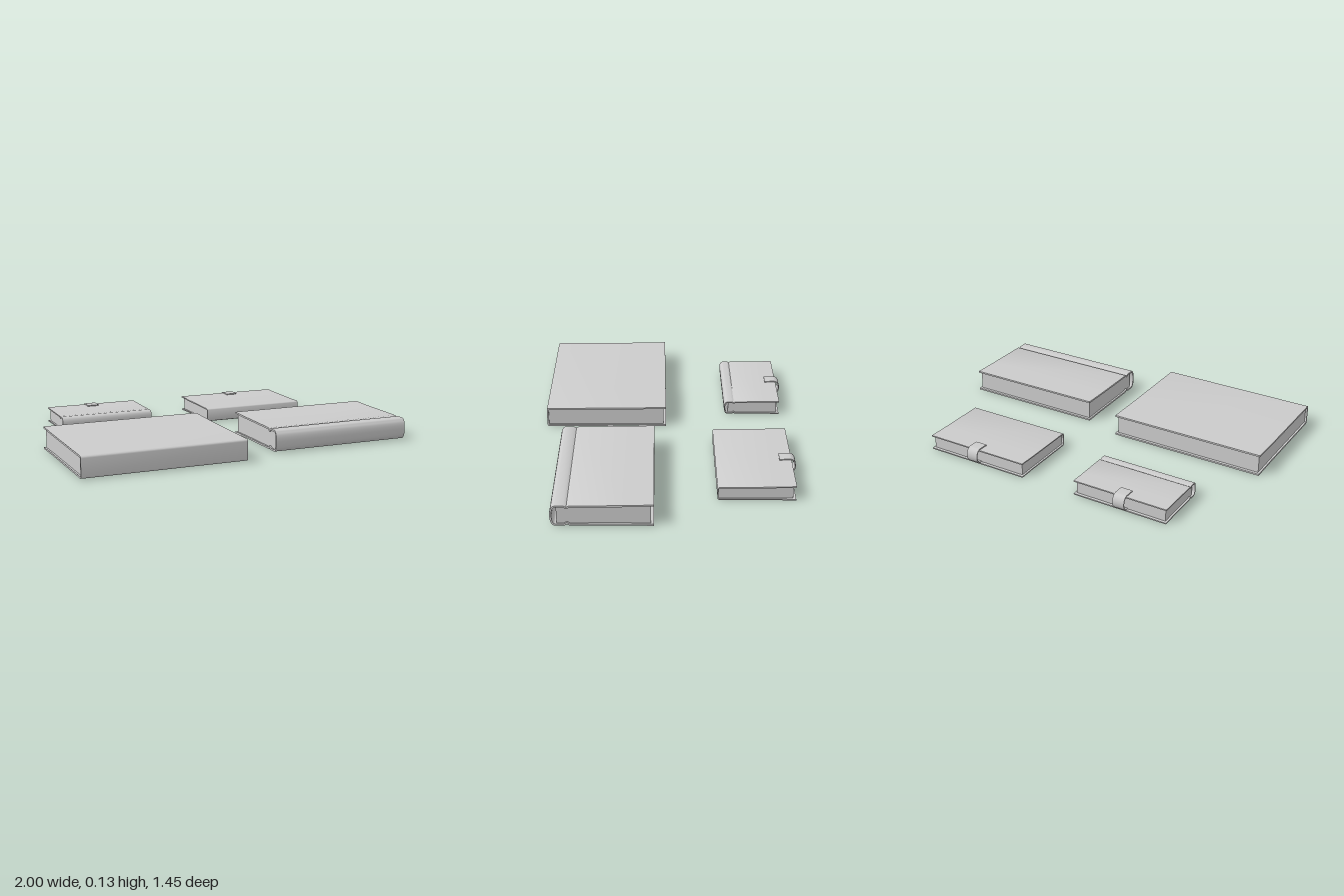
import * as THREE from 'three';
import { toCreasedNormals } from 'three/addons/utils/BufferGeometryUtils.js';

const material = new THREE.MeshStandardMaterial({ color: 0xcccccc });

// Extrude a [z, y] outline along x between x0 and x1.
function extrudeX(name, points, x0, x1) {
  const shape = new THREE.Shape(points.map(([z, y]) => new THREE.Vector2(z, y)));
  let geo = new THREE.ExtrudeGeometry(shape, { depth: x1 - x0, bevelEnabled: false });
  geo.rotateY(-Math.PI / 2).translate(x1, 0, 0);
  geo = toCreasedNormals(geo, 0.6);
  const mesh = new THREE.Mesh(geo, material);
  mesh.name = name;
  return mesh;
}

// Thicken a [z, y] path to its right-hand side with mitred corners.
function thicken(path, t) {
  const dir = (a, b) => {
    const l = Math.hypot(b[0] - a[0], b[1] - a[1]);
    return [(b[0] - a[0]) / l, (b[1] - a[1]) / l];
  };
  const inner = path.map((p, i) => {
    const d1 = i > 0 ? dir(path[i - 1], p) : dir(p, path[1]);
    const d2 = i < path.length - 1 ? dir(p, path[i + 1]) : d1;
    const nx = d1[1] + d2[1], ny = -d1[0] - d2[0];
    const k = 2 * t / (nx * nx + ny * ny);
    return [p[0] + nx * k, p[1] + ny * k];
  });
  return [...path, ...inner.reverse()];
}

// Upper half of the cover outline, from the open edge to the spine.
function squareSpine(z0, z1, h, flare) {
  const r = 0.012, y = h - flare;
  const pts = [[z0, h], [z0 + (z1 - z0) * 0.25, h - flare * 0.7]];
  for (let i = 0; i <= 4; i++) {
    const a = i / 4 * Math.PI / 2;
    pts.push([z1 - r + r * Math.sin(a), y - r + r * Math.cos(a)]);
  }
  return pts;
}

function roundSpine(z0, z1, h, flare, groove, s) {
  const y = h - flare;
  const pts = [[z0, h], [z0 + (z1 - z0) * 0.25, h - flare * 0.7],
    [groove - 0.014 * s, y], [groove, y - 0.008 * s], [groove + 0.014 * s, y]];
  // bulging back
  const start = z1 - 0.03 * s;
  for (let i = 0; i < 6; i++) {
    const a = i / 6 * Math.PI / 2;
    pts.push([start + (z1 - start) * Math.sin(a), h / 2 + (y - h / 2) * Math.cos(a) ** 0.8]);
  }
  pts.push([z1, h / 2]);
  return pts;
}

// Curved closing strap reaching round the open edge.
function strap(x, z0, h) {
  const path = [[z0 + 0.018, 0.006]];
  for (let i = 0; i <= 14; i++) {
    const a = i / 14 * Math.PI;
    path.push([z0 + 0.006 - 0.033 * Math.sin(a), 0.051 - 0.045 * Math.cos(a)]);
  }
  path.push([z0 + 0.035, h + 0.007], [z0 + 0.068, h + 0.005]);
  return extrudeX('strap', thicken(path, 0.006), x - 0.035, x + 0.035);
}

function book({ name, x0, x1, z0, z1, h, t, flare, groove, s, clasp }) {
  const group = new THREE.Group();
  group.name = name;
  const half = groove === undefined
    ? squareSpine(z0, z1, h, flare)
    : roundSpine(z0, z1, h, flare, groove, s);
  const mirrored = half.map(([z, y]) => [z, h - y]).reverse();
  const path = groove === undefined ? [...half, ...mirrored] : [...half, ...mirrored.slice(1)];
  group.add(extrudeX('cover', thicken(path, t), x0, x1));

  // page block, slightly tapered to follow the covers
  const inset = 0.016, zs = groove === undefined ? z1 - t : z1 - 0.035 * s;
  const a = t + flare * 0.1, b = t + flare;
  group.add(extrudeX('pages',
    [[z0 + inset, a], [zs, b], [zs, h - b], [z0 + inset, h - a]],
    x0 + inset * 0.7, x1 - inset * 0.7));
  if (clasp !== undefined) group.add(strap(clasp, z0, h));
  return group;
}

export function createModel() {
  const model = new THREE.Group();
  model.name = 'books';
  const books = [
    { name: 'largeSquareBook', x0: -1, x1: -0.065, z0: 0, z1: 0.72, h: 0.13, t: 0.01, flare: 0.005 },
    { name: 'largeRoundBook', x0: 0.16, x1: 1, z0: 0.07, z1: 0.615, h: 0.13, t: 0.01, flare: 0.004, groove: 0.525, s: 1 },
    { name: 'smallRoundBook', x0: -0.785, x1: -0.215, z0: -0.7, z1: -0.36, h: 0.089, t: 0.007, flare: 0.003, groove: -0.42, s: 0.7, clasp: -0.51 },
    { name: 'smallSquareBook', x0: 0.125, x1: 0.765, z0: -0.7, z1: -0.273, h: 0.089, t: 0.007, flare: 0.004, clasp: 0.455 },
  ];
  books.forEach((b) => model.add(book(b)));
  return model;
}
